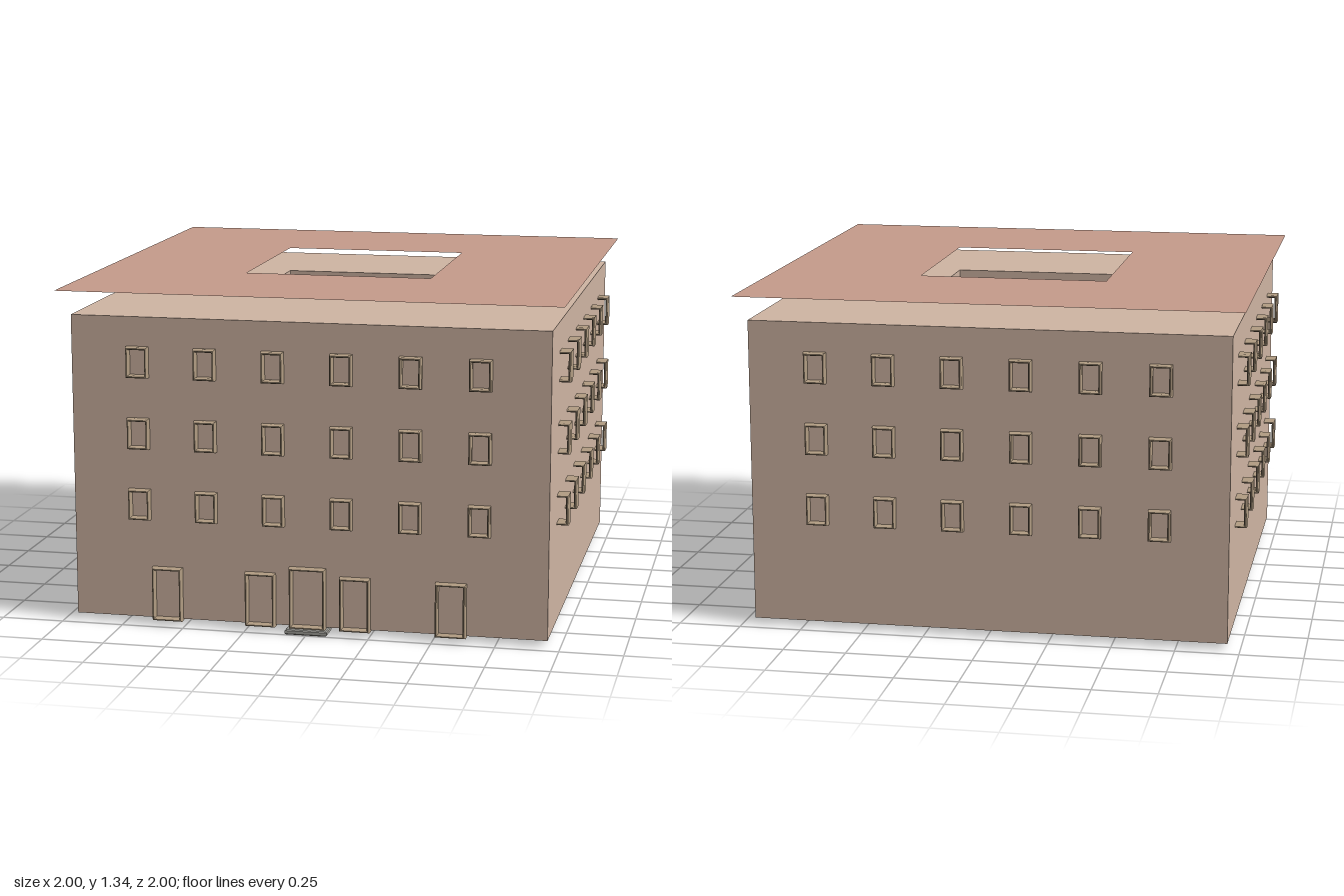
import * as THREE from 'three';

const mat = (color, side = THREE.FrontSide) =>
  new THREE.MeshStandardMaterial({ color, side, flatShading: true });
const wallMat = mat(0xcfb5a3);
const roofMat = mat(0xc69b8b, THREE.DoubleSide);
const frameMat = mat(0xb29d83);
const stepMat = mat(0xa3a29c);

// Axis-aligned rectangle centred on the origin
function rect(target, w, h) {
  const x = w / 2, y = h / 2;
  target.moveTo(-x, -y).lineTo(x, -y).lineTo(x, y).lineTo(-x, y).closePath();
  return target;
}

// Square slab outline with the courtyard opening
function ringShape(outer, inner) {
  const shape = rect(new THREE.Shape(), outer, outer);
  shape.holes.push(rect(new THREE.Path(), inner, inner));
  return shape;
}

// Thin open frame with chamfered edges, running along z, centred on the origin
function frameGeometry(w, h) {
  const bevel = 0.004, chamfer = 0.012, depth = 0.058;
  const shape = rect(new THREE.Shape(), w - 2 * bevel, h - 2 * bevel);
  shape.holes.push(rect(new THREE.Path(), w - 0.016, h - 0.016));
  const geo = new THREE.ExtrudeGeometry(shape, {
    depth, bevelEnabled: true, bevelSegments: 1, bevelSize: bevel, bevelThickness: chamfer,
  });
  return geo.translate(0, 0, -depth / 2);
}

export function createModel() {
  const model = new THREE.Group();
  model.name = 'courtyardBuilding';

  function add(parent, name, geo, material, x = 0, y = 0, z = 0) {
    const mesh = new THREE.Mesh(geo, material);
    mesh.name = name;
    mesh.position.set(x, y, z);
    parent.add(mesh);
    return mesh;
  }

  // Walls around the open courtyard
  const body = new THREE.ExtrudeGeometry(ringShape(1.9, 0.765), { depth: 1.215, bevelEnabled: false });
  body.rotateX(-Math.PI / 2);
  add(model, 'walls', body, wallMat, 0, 0.025, 0);

  // Flat sheet roof raised above the walls
  const roof = new THREE.ShapeGeometry(ringShape(2, 0.765));
  roof.rotateX(-Math.PI / 2);
  add(model, 'roof', roof, roofMat, 0, 1.34, 0);

  // Three rows of six windows on each side, all frames open along z
  const windows = new THREE.Group();
  windows.name = 'windows';
  model.add(windows);
  const windowGeo = frameGeometry(0.088, 0.124);
  for (const y of [0.489, 0.775, 1.061]) {
    for (let i = 0; i < 6; i++) {
      const t = (i - 2.5) * 0.272;
      add(windows, 'frontWindow', windowGeo, frameMat, t, y, 0.941);
      add(windows, 'backWindow', windowGeo, frameMat, t, y, -0.941);
      add(windows, 'leftWindow', windowGeo, frameMat, 0.952, y, t);
      add(windows, 'rightWindow', windowGeo, frameMat, -0.952, y, t);
    }
  }

  // Door frames along the front
  const doors = new THREE.Group();
  doors.name = 'doors';
  model.add(doors);
  const doorGeo = frameGeometry(0.122, 0.218);
  for (const x of [-0.571, -0.191, 0.191, 0.571]) {
    add(doors, 'sideDoor', doorGeo, frameMat, x, 0.127, 0.941);
  }
  add(doors, 'mainDoor', frameGeometry(0.146, 0.248), frameMat, 0, 0.142, 0.941);

  // Entrance step with chamfered edges
  const stepShape = rect(new THREE.Shape(), 0.16, 0.09);
  const step = new THREE.ExtrudeGeometry(stepShape, {
    depth: 0.012, bevelEnabled: true, bevelSegments: 1, bevelSize: 0.004, bevelThickness: 0.004,
  });
  step.rotateX(-Math.PI / 2);
  add(model, 'entranceStep', step, stepMat, 0, 0.004, 0.947);

  return model;
}
